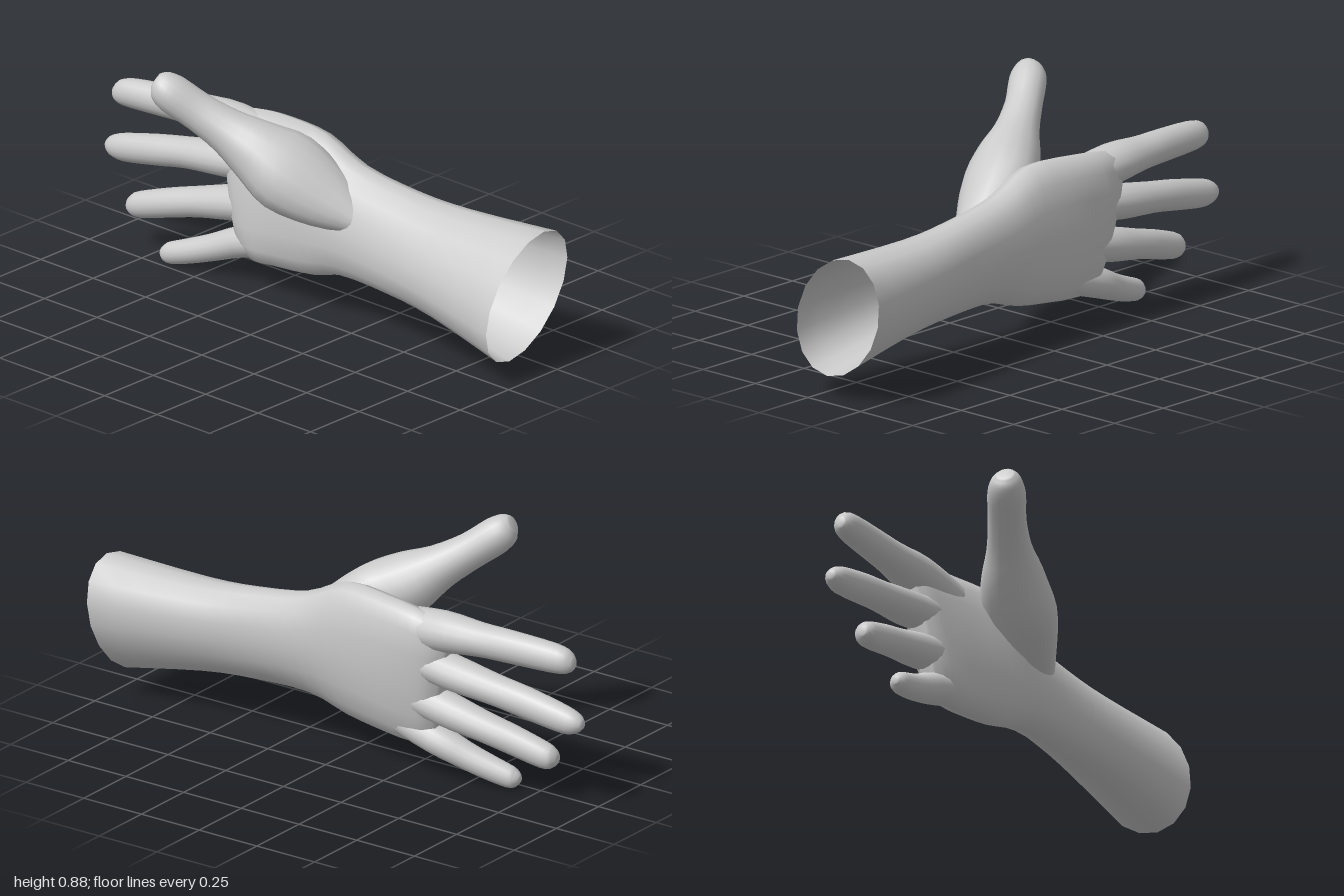
import * as THREE from 'three';

const SIDES = 16, STEPS = 3;
const skinMaterial = new THREE.MeshStandardMaterial({ color: 0xcccccc, side: THREE.DoubleSide });

// Smooth interpolation through rows of numbers
function refine(rows) {
  const out = [];
  const at = (i) => rows[Math.min(Math.max(i, 0), rows.length - 1)];
  for (let i = 0; i < rows.length - 1; i++) {
    for (let s = 0; s < STEPS; s++) {
      const t = s / STEPS;
      out.push(rows[i].map((p1, k) => {
        const p0 = at(i - 1)[k], p2 = at(i + 1)[k], p3 = at(i + 2)[k];
        return p1 + 0.5 * t * (p2 - p0 + t * (2 * p0 - 5 * p1 + 4 * p2 - p3 + t * (3 * (p1 - p2) + p3 - p0)));
      }));
    }
  }
  out.push(rows[rows.length - 1]);
  return out;
}

// Skin over rings of points, closed at the far end only
function skin(name, rings) {
  const pos = [], index = [];
  rings.forEach((ring) => ring.forEach((p) => pos.push(p.x, p.y, p.z)));
  for (let i = 0; i < rings.length - 1; i++) {
    for (let j = 0; j < SIDES; j++) {
      const a = i * SIDES + j, b = i * SIDES + (j + 1) % SIDES;
      index.push(a, b, b + SIDES, a, b + SIDES, a + SIDES);
    }
  }
  const last = rings[rings.length - 1], base = (rings.length - 1) * SIDES;
  const mid = last.reduce((s, p) => s.add(p), new THREE.Vector3()).divideScalar(SIDES);
  pos.push(mid.x, mid.y, mid.z);
  for (let j = 0; j < SIDES; j++) index.push(base + j, base + (j + 1) % SIDES, base + SIDES);
  const geo = new THREE.BufferGeometry();
  geo.setAttribute('position', new THREE.Float32BufferAttribute(pos, 3));
  geo.setIndex(index);
  geo.computeVertexNormals();
  const mesh = new THREE.Mesh(geo, skinMaterial);
  mesh.name = name;
  return mesh;
}

// Digit: rows of x, y, z, radius along "up", radius across it
function digit(name, rows, up) {
  const path = refine(rows);
  const centre = path.map((r) => new THREE.Vector3(r[0], r[1], r[2]));
  const rings = path.map((r, i) => {
    const t = centre[Math.min(i + 1, path.length - 1)].clone().sub(centre[Math.max(i - 1, 0)]).normalize();
    const a = up.clone().addScaledVector(t, -up.dot(t)).normalize();
    const b = t.clone().cross(a);
    return Array.from({ length: SIDES }, (_, j) => {
      const ang = (j / SIDES) * Math.PI * 2;
      return centre[i].clone().addScaledVector(a, r[3] * Math.cos(ang)).addScaledVector(b, r[4] * Math.sin(ang));
    });
  });
  return skin(name, rings);
}

// Forearm and palm: rows of z, centre x, centre y, half width, half height, lean, slant, squareness
function forearmAndPalm() {
  const rows = refine([
    [0.975, 0.12, 0.315, 0.19, 0.23, 0.3, 0.08, 1],
    [0.62, 0.112, 0.343, 0.15, 0.188, 0.25, 0, 1],
    [0.4, 0.105, 0.36, 0.125, 0.184, 0.2, 0, 1],
    [0.17, 0.1, 0.38, 0.113, 0.202, 0.15, 0, 1],
    [0, 0.1, 0.395, 0.11, 0.262, 0.1, 0, 0.95],
    [-0.18, 0.115, 0.385, 0.097, 0.272, 0.12, -0.06, 0.85],
    [-0.3, 0.12, 0.372, 0.085, 0.268, 0.14, -0.18, 0.8],
    [-0.38, 0.118, 0.36, 0.066, 0.245, 0.1, -0.22, 0.8],
    [-0.42, 0.115, 0.355, 0.03, 0.21, 0.08, -0.22, 0.8],
  ]);
  const soft = (v, e) => Math.sign(v) * Math.pow(Math.abs(v), e);
  return skin('forearmAndPalm', rows.map(([z, cx, cy, rx, ry, lean, slant, e]) =>
    Array.from({ length: SIDES }, (_, j) => {
      const ang = (j / SIDES) * Math.PI * 2;
      const dy = ry * soft(Math.cos(ang), e);
      return new THREE.Vector3(cx + rx * soft(Math.sin(ang), e) + lean * dy, cy + dy, z + slant * dy);
    })));
}

export function createModel() {
  const hand = new THREE.Group();
  hand.name = 'hand';
  hand.add(forearmAndPalm());

  // Four fingers, from knuckle to tip
  const fingers = {
    indexFinger: [
      [0.125, 0.55, -0.22, 0.07, 0.07], [0.13, 0.572, -0.42, 0.073, 0.08],
      [0.122, 0.575, -0.58, 0.061, 0.064], [0.112, 0.574, -0.7, 0.059, 0.057],
      [0.092, 0.567, -0.87, 0.054, 0.049], [0.082, 0.56, -0.93, 0.042, 0.037],
      [0.08, 0.56, -0.953, 0.018, 0.016]],
    middleFinger: [
      [0.125, 0.45, -0.28, 0.06, 0.07], [0.128, 0.425, -0.46, 0.063, 0.073],
      [0.12, 0.4, -0.64, 0.056, 0.06], [0.108, 0.377, -0.77, 0.056, 0.055],
      [0.096, 0.348, -0.92, 0.051, 0.046], [0.092, 0.343, -0.975, 0.036, 0.035],
      [0.09, 0.342, -0.998, 0.015, 0.015]],
    ringFinger: [
      [0.115, 0.31, -0.25, 0.06, 0.07], [0.115, 0.275, -0.42, 0.063, 0.07],
      [0.1, 0.24, -0.57, 0.055, 0.06], [0.08, 0.208, -0.69, 0.053, 0.053],
      [0.06, 0.173, -0.81, 0.048, 0.045], [0.052, 0.167, -0.845, 0.035, 0.034],
      [0.05, 0.166, -0.86, 0.015, 0.015]],
    littleFinger: [
      [0.1, 0.19, -0.22, 0.055, 0.06], [0.1, 0.145, -0.37, 0.056, 0.062],
      [0.077, 0.1, -0.48, 0.049, 0.053], [0.055, 0.067, -0.57, 0.045, 0.046],
      [0.037, 0.044, -0.645, 0.04, 0.038], [0.033, 0.041, -0.67, 0.028, 0.028],
      [0.032, 0.04, -0.683, 0.012, 0.012]],
  };
  const up = new THREE.Vector3(0, 1, 0);
  for (const [name, rows] of Object.entries(fingers)) hand.add(digit(name, rows, up));

  // Thumb, broad at its base where it joins the palm
  hand.add(digit('thumb', [
    [0.05, 0.41, 0.24, 0.05, 0.05], [0.02, 0.47, 0.12, 0.115, 0.09],
    [-0.035, 0.55, -0.02, 0.15, 0.12], [-0.085, 0.62, -0.13, 0.113, 0.112],
    [-0.133, 0.682, -0.22, 0.082, 0.08], [-0.185, 0.745, -0.31, 0.07, 0.066],
    [-0.235, 0.805, -0.385, 0.07, 0.066], [-0.257, 0.838, -0.42, 0.055, 0.052],
    [-0.265, 0.85, -0.438, 0.03, 0.03]], new THREE.Vector3(0.82, 0.57, 0)));

  return hand;
}
